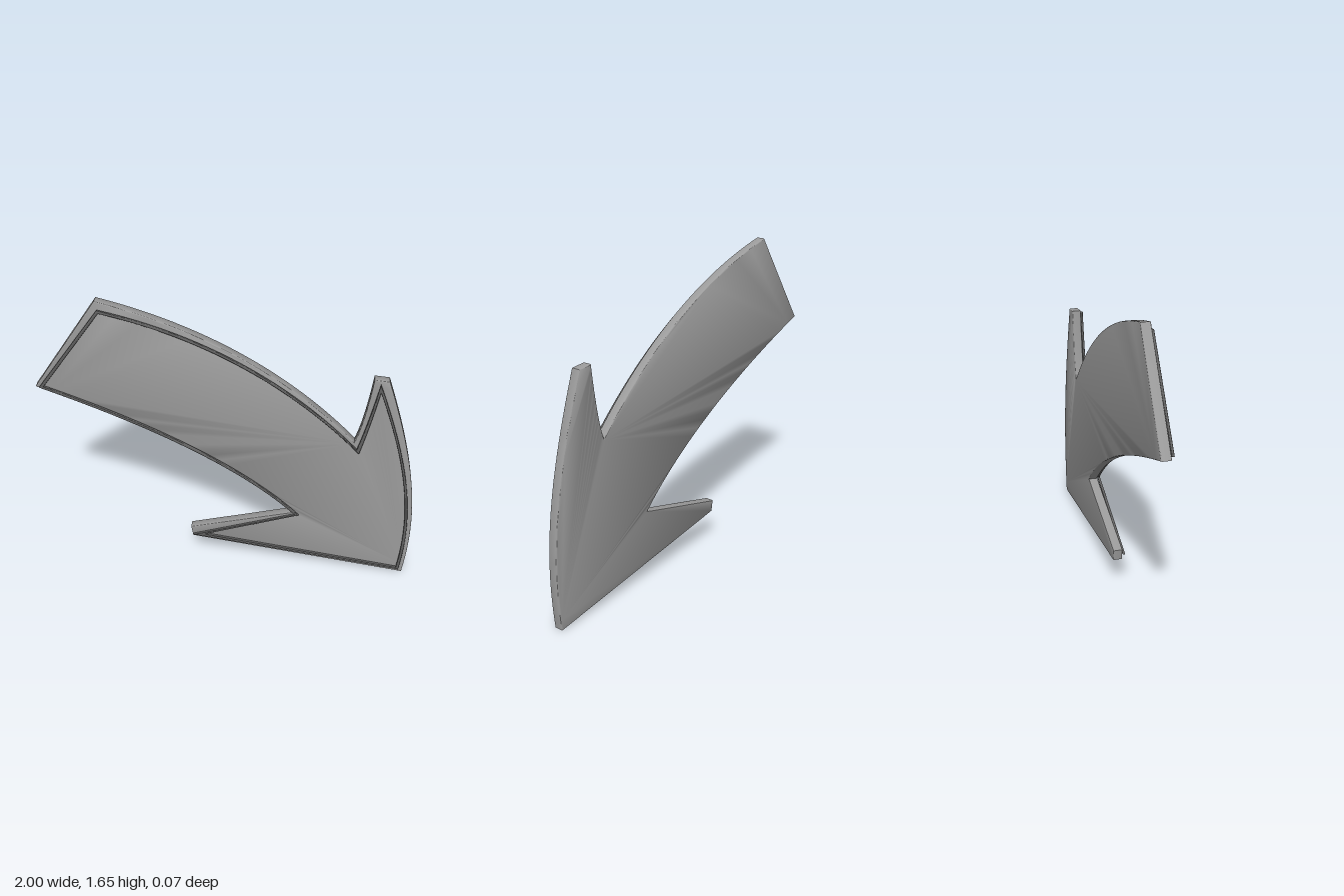
import * as THREE from 'three';
import { toCreasedNormals } from 'three/addons/utils/BufferGeometryUtils.js';

// Traces a curved arrow: tail, lower edge, lower barb, tip, outer edge, upper barb, upper edge
function traceArrow(path, a) {
  path.moveTo(...a.tailTop);
  path.lineTo(...a.tailBottom);
  path.quadraticCurveTo(...a.lowerBend, ...a.lowerNotch);
  a.lowerBarb.forEach((p) => path.lineTo(...p));
  path.lineTo(...a.tip);
  path.bezierCurveTo(...a.outerBend, ...a.upperBarb[0]);
  a.upperBarb.slice(1).forEach((p) => path.lineTo(...p));
  path.quadraticCurveTo(...a.barbBend, ...a.upperNotch);
  path.quadraticCurveTo(...a.upperBend, ...a.tailTop);
  return path;
}

const body = {
  tailTop: [-0.655, 1.655], tailBottom: [-1, 1.145],
  lowerBend: [-0.055, 0.8], lowerNotch: [0.347, 0.393],
  lowerBarb: [[-0.215, 0.243], [-0.205, 0.18]], tip: [0.984, 0],
  outerBend: [1.04, 0.45, 0.965, 0.8],
  upperBarb: [[0.798, 1.278], [0.722, 1.285]],
  barbBend: [0.692, 1.01], upperNotch: [0.652, 0.895], upperBend: [0.12, 1.47],
};

const trimOuter = {
  tailTop: [-0.642, 1.615], tailBottom: [-0.978, 1.15],
  lowerBend: [-0.04, 0.805], lowerNotch: [0.36, 0.393],
  lowerBarb: [[-0.2, 0.203]], tip: [0.963, 0.03],
  outerBend: [1.015, 0.45, 0.937, 0.8], upperBarb: [[0.754, 1.27]],
  barbBend: [0.705, 1.0], upperNotch: [0.665, 0.862], upperBend: [0.12, 1.455],
};

const trimInner = {
  tailTop: [-0.635, 1.598], tailBottom: [-0.952, 1.158],
  lowerBend: [-0.025, 0.82], lowerNotch: [0.384, 0.39],
  lowerBarb: [[-0.135, 0.211]], tip: [0.948, 0.048],
  outerBend: [0.997, 0.45, 0.922, 0.8], upperBarb: [[0.759, 1.222]],
  barbBend: [0.72, 1.0], upperNotch: [0.679, 0.834], upperBend: [0.12, 1.438],
};

export function createModel() {
  const group = new THREE.Group();

  // Extrudes a shape between two depths, rounding its rims inside the outline
  const addPart = (name, shape, color, back, front, bevel) => {
    const geometry = new THREE.ExtrudeGeometry(shape, {
      curveSegments: 24, depth: front - back - 2 * bevel,
      bevelThickness: bevel, bevelSize: bevel, bevelOffset: -bevel, bevelSegments: 3,
    });
    const material = new THREE.MeshStandardMaterial({ color });
    const mesh = new THREE.Mesh(toCreasedNormals(geometry, 0.8), material);
    mesh.name = name;
    mesh.position.z = back + bevel;
    group.add(mesh);
  };

  // Thick arrow slab with softened rims
  addPart('arrowBody', traceArrow(new THREE.Shape(), body), 0x9b9b9b, -0.035, 0.015, 0.005);

  // Thin, darker border in front of the slab
  const trim = traceArrow(new THREE.Shape(), trimOuter);
  trim.holes.push(traceArrow(new THREE.Path(), trimInner));
  addPart('borderTrim', trim, 0x606060, 0.02, 0.034, 0.004);

  group.name = 'curvedArrow';
  return group;
}
